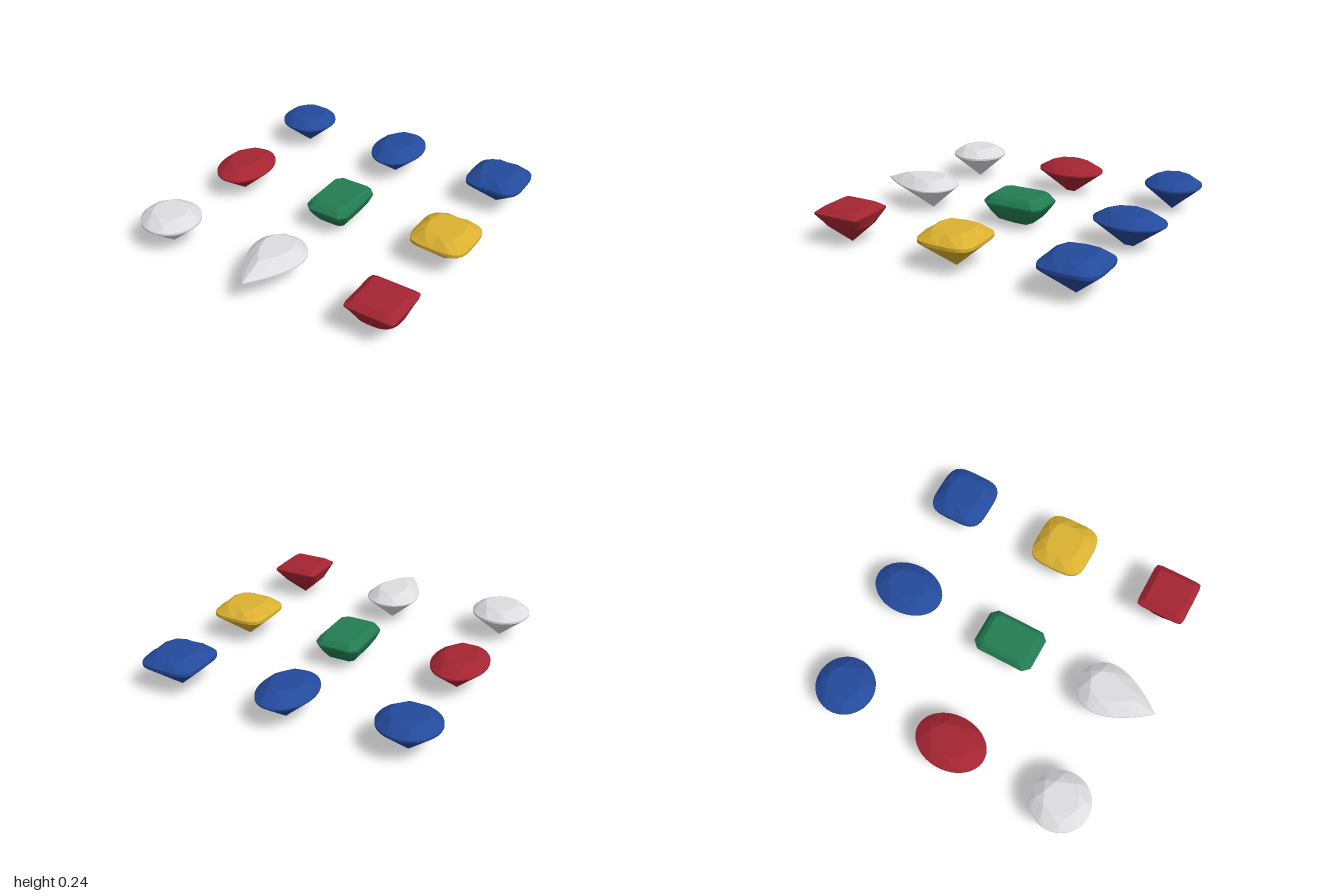
import * as THREE from 'three';

const mat = (name, color) => {
  const m = new THREE.MeshStandardMaterial({ color });
  m.name = name;
  return m;
};

const N = 48; // girdle points, six per crown sector

// Outlines: angle -> [x, z] around the stone's own centre
const superellipse = (rx, rz, n) => (a) => {
  const c = Math.cos(a), s = Math.sin(a);
  const r = Math.pow(Math.abs(c) ** n + Math.abs(s) ** n, -1 / n);
  return [rx * r * c, rz * r * s];
};
const pearOutline = (a) => {
  if (Math.sin(a) <= 0) return [0.172 * Math.cos(a), 0.172 * Math.sin(a)];
  const t = 1 - Math.abs(a - Math.PI / 2) / (Math.PI / 2);
  return [Math.sign(Math.cos(a)) * 0.172 * (1 - t ** 1.7), 0.35 * t];
};

const ring = (outline, y, scale = 1, count = N, offset = 0) =>
  Array.from({ length: count }, (_, i) => {
    const [x, z] = outline(((i + offset) / count) * Math.PI * 2);
    return [x * scale, y, z * scale];
  });

// Rectangle with cut corners, as eight points in the same direction as ring()
const cutRectangle = (x, z, y, c) => [
  [x, y, -z + c], [x, y, z - c], [x - c, y, z], [-x + c, y, z],
  [-x, y, z - c], [-x, y, -z + c], [-x + c, y, -z], [x - c, y, -z],
];

// Bands of faces between a lower and an upper ring
function stitch(out, low, up) {
  low.forEach((p, i) => {
    const j = (i + 1) % low.length;
    out.push(p, up[i], low[j], low[j], up[i], up[j]);
  });
}

// Flat table on top
function cap(out, top) {
  const centre = [0, top[0][1], 0];
  top.forEach((p, i) => out.push(centre, top[(i + 1) % top.length], p));
}

// Crown with eight star facets, eight kites and the girdle facets
function brilliantCrown(out, outline, girdle, y, top, tableScale) {
  const table = ring(outline, top, tableScale, 8);
  const mid = ring(outline, y + (top - y) * 0.61, tableScale + 0.22, 8, 0.5);
  const step = N / 8;
  cap(out, table);
  for (let k = 0; k < 8; k++) {
    const g = girdle[k * step], prev = mid[(k + 7) % 8];
    out.push(mid[k], table[k], table[(k + 1) % 8]);
    out.push(g, prev, table[k], g, table[k], mid[k]);
    for (let j = k * step; j < (k + 1) * step; j++)
      out.push(girdle[j], mid[k], girdle[(j + 1) % N]);
  }
}

function brilliant(outline, { low, high, top, table, keel = 0 }) {
  const out = [];
  const bottom = ring((a) => [0, keel * Math.sin(a)], 0);
  const lower = ring(outline, low), upper = ring(outline, high);
  stitch(out, bottom, lower); // pavilion
  stitch(out, lower, upper); // girdle
  brilliantCrown(out, outline, upper, high, top, table);
  return out;
}

function loft(rings) {
  const out = [];
  for (let i = 1; i < rings.length; i++) stitch(out, rings[i - 1], rings[i]);
  cap(out, rings[rings.length - 1]);
  return out;
}

function gem(name, points, material, x, z) {
  const geometry = new THREE.BufferGeometry();
  geometry.setAttribute('position', new THREE.Float32BufferAttribute(points.flat(), 3));
  geometry.computeVertexNormals(); // unshared corners keep every facet flat
  const mesh = new THREE.Mesh(geometry, material);
  mesh.name = name;
  mesh.position.set(x, 0, z);
  return mesh;
}

export function createModel() {
  const group = new THREE.Group();
  group.name = 'gemstones';
  const white = mat('diamondWhite', 0xdcdce0);
  const blue = mat('sapphireBlue', 0x244a9c);
  const red = mat('rubyRed', 0xa42432);
  const green = mat('emeraldGreen', 0x237c52);
  const gold = mat('topazGold', 0xdab030);

  // Cuts
  const round = brilliant(superellipse(0.187, 0.187, 2),
    { low: 0.165, high: 0.178, top: 0.23, table: 0.59 });
  const oval = brilliant(superellipse(0.172, 0.23, 2),
    { low: 0.155, high: 0.165, top: 0.22, table: 0.57, keel: 0.03 });
  const cushion = brilliant(superellipse(0.187, 0.187, 4),
    { low: 0.165, high: 0.185, top: 0.24, table: 0.6 });
  const pear = brilliant(pearOutline,
    { low: 0.155, high: 0.163, top: 0.22, table: 0.56 });
  const princess = loft([
    ring(() => [0, 0], 0),
    ring(superellipse(0.135, 0.135, 2.8), 0.125),
    ring(superellipse(0.158, 0.158, 14), 0.195),
    ring(superellipse(0.16, 0.16, 14), 0.207),
    ring(superellipse(0.12, 0.12, 14), 0.237),
  ]);
  const emerald = loft([
    cutRectangle(0.001, 0.045, 0, 0.0005),
    cutRectangle(0.092, 0.13, 0.05, 0.025),
    cutRectangle(0.127, 0.172, 0.105, 0.035),
    cutRectangle(0.145, 0.202, 0.152, 0.042),
    cutRectangle(0.145, 0.202, 0.163, 0.042),
    cutRectangle(0.128, 0.177, 0.192, 0.037),
    cutRectangle(0.108, 0.148, 0.21, 0.031),
  ]);

  // Three rows of three, from back to front
  group.add(
    gem('blueRoundGem', round, blue, -0.755, -0.775),
    gem('blueOvalGem', oval, blue, 0, -0.77),
    gem('blueCushionGem', cushion, blue, 0.752, -0.775),
    gem('redOvalGem', oval, red, -0.755, -0.02),
    gem('greenEmeraldCutGem', emerald, green, 0, -0.02),
    gem('goldCushionGem', cushion, gold, 0.752, -0.02),
    gem('whiteRoundGem', round, white, -0.755, 0.733),
    gem('whitePearGem', pear, white, 0, 0.647),
    gem('redSquareGem', princess, red, 0.752, 0.733),
  );
  return group;
}
